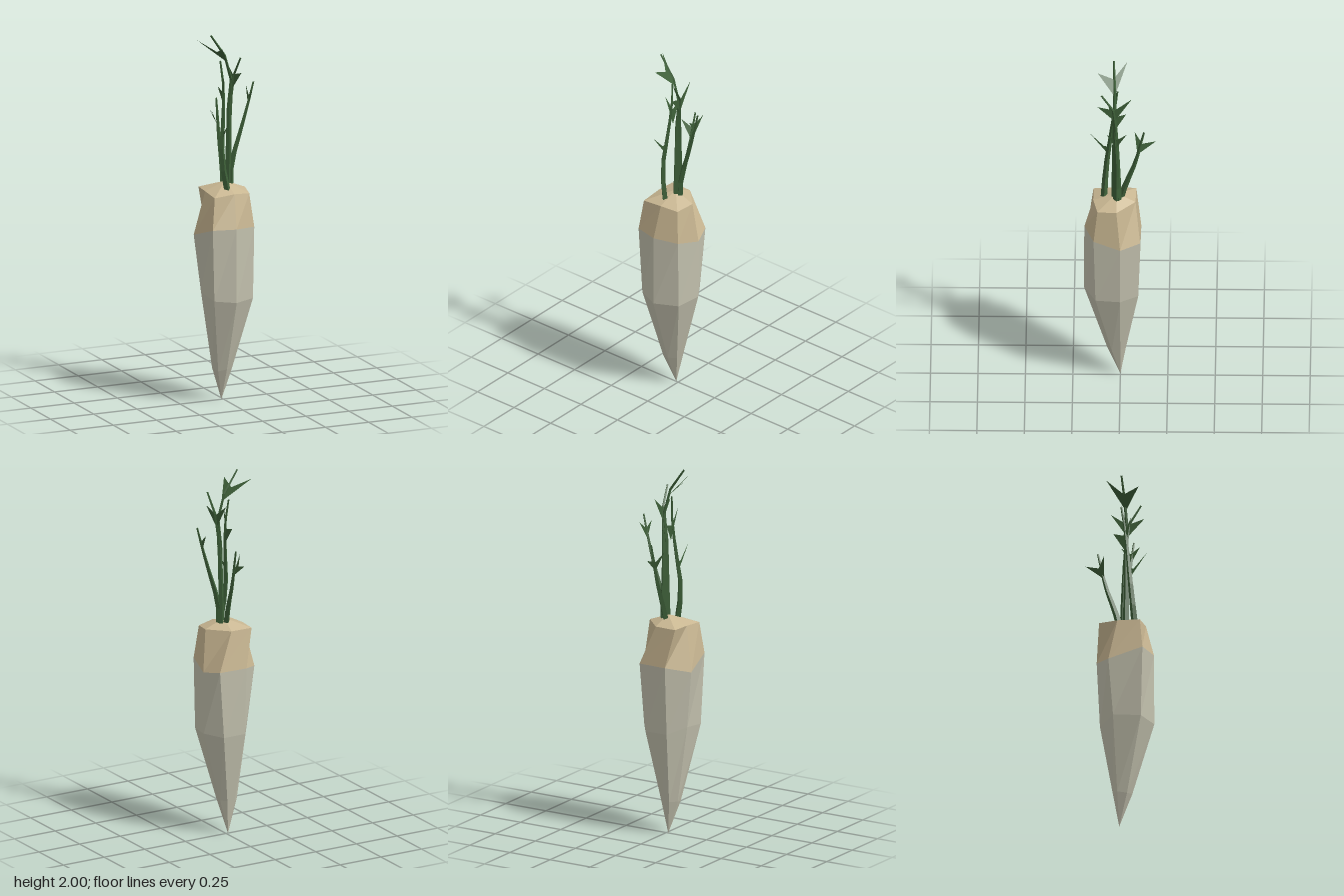
import * as THREE from 'three';

const mat = (color, side = THREE.FrontSide) => new THREE.MeshStandardMaterial({ color, side, flatShading: true });

// Geometry from a list of corner triples
function facets(corners) {
  const g = new THREE.BufferGeometry();
  g.setAttribute('position', new THREE.Float32BufferAttribute(corners.flat(), 3));
  g.computeVertexNormals();
  return g;
}

// Joins rings from top to bottom; a ring of one point closes the end
function loft(rings) {
  const out = [];
  for (let i = 0; i < rings.length - 1; i++) {
    const u = rings[i], l = rings[i + 1], n = Math.max(u.length, l.length);
    for (let j = 0; j < n; j++) {
      const k = (j + 1) % n;
      if (u.length === 1) out.push(u[0], l[k], l[j]);
      else if (l.length === 1) out.push(u[j], u[k], l[0]);
      else out.push(u[j], u[k], l[k], u[j], l[k], l[j]);
    }
  }
  return facets(out);
}

// Tapered four-sided stem along a bent path
function stemGeometry(points, r0, r1) {
  const curve = new THREE.CatmullRomCurve3(points.map(p => new THREE.Vector3(...p)));
  const segs = 6, sides = 4;
  const g = new THREE.TubeGeometry(curve, segs, r0, sides);
  const pos = g.attributes.position, v = new THREE.Vector3();
  for (let i = 0; i <= segs; i++) {
    const c = curve.getPointAt(i / segs), s = 1 + (r1 / r0 - 1) * i / segs;
    for (let j = 0; j <= sides; j++) {
      const n = i * (sides + 1) + j;
      v.fromBufferAttribute(pos, n).sub(c).multiplyScalar(s).add(c);
      pos.setXYZ(n, v.x, v.y, v.z);
    }
  }
  g.computeVertexNormals();
  return g;
}

// Forked leaf: base on the stem, two prongs and a notch between them
function leafGeometry(base, a, b) {
  const notch = base.map((c, i) => c * 0.4 + (a[i] + b[i]) * 0.3);
  return facets([base, a, notch, base, notch, b]);
}

export function createModel() {
  const group = new THREE.Group();
  const add = (name, geometry, material) => {
    const m = new THREE.Mesh(geometry, material);
    m.name = name;
    group.add(m);
  };

  // Seven-sided root cross-sections
  const apex = [[0, 1.195, 0.02]];
  const shoulder = [[-0.107, 1.15, -0.083], [0.015, 1.15, -0.08], [0.115, 1.15, 0.02], [0.095, 1.14, 0.12],
    [0, 1.15, 0.143], [-0.115, 1.14, 0.143], [-0.115, 1.15, 0.02]];
  const widest = [[-0.06, 0.94, -0.11], [0.1, 0.94, -0.105], [0.14, 0.92, 0], [0.115, 0.96, 0.14],
    [-0.01, 0.97, 0.19], [-0.135, 0.97, 0.163], [-0.165, 0.91, -0.015]];
  const middle = [[-0.06, 0.57, -0.092], [0.07, 0.57, -0.095], [0.138, 0.58, 0], [0.112, 0.57, 0.13],
    [-0.01, 0.57, 0.192], [-0.12, 0.58, 0.15], [-0.13, 0.6, 0]];
  const lower = [[-0.035, 0.18, -0.028], [0.01, 0.19, -0.03], [0.036, 0.19, 0], [0.03, 0.18, 0.045],
    [-0.012, 0.18, 0.072], [-0.055, 0.17, 0.055], [-0.068, 0.18, 0.005]];
  const tip = [[-0.012, 0, 0]];
  add('crown', loft([apex, shoulder, widest]), mat(0xc9b792));
  add('root', loft([widest, middle, lower, tip]), mat(0xc2c0ad));

  // Stems, each with one or two forked leaves
  const stemMat = mat(0x3d5f38), leafMat = mat(0x3d5f38, THREE.DoubleSide);
  const stems = [
    { path: [[0.03, 1.16, 0.02], [0.037, 1.28, 0.02], [0.09, 1.46, 0.02], [0.13, 1.6, 0.025], [0.16, 1.72, 0.03]],
      leaves: [[[0.132, 1.59, 0.022], [0.145, 1.69, -0.035], [0.135, 1.68, 0.07]]] },
    { path: [[0.01, 1.16, 0.03], [0.015, 1.4, 0.03], [0.018, 1.62, 0.03], [0.03, 1.81, 0.03], [-0.02, 1.9, 0.03], [-0.09, 2, 0.035]],
      leaves: [[[0.01, 1.84, 0.03], [-0.135, 1.96, -0.035], [-0.06, 1.94, 0.12]]] },
    { path: [[0.025, 1.16, 0.01], [0.025, 1.4, 0.015], [0.032, 1.65, 0.025], [0.045, 1.78, 0.04], [0.055, 1.88, 0.1]],
      leaves: [[[0.04, 1.7, 0.03], [0.035, 1.84, -0.06], [0.05, 1.8, 0.12]]] },
    { path: [[-0.015, 1.15, 0.087], [-0.042, 1.33, 0.076], [-0.028, 1.52, 0.055], [-0.015, 1.7, 0.035], [-0.025, 1.85, 0.015]],
      leaves: [[[-0.035, 1.42, 0.06], [-0.037, 1.56, 0.16], [-0.03, 1.48, 0.05]],
        [[-0.01, 1.6, 0.03], [-0.02, 1.7, -0.03], [-0.03, 1.78, 0.07]]] },
    { path: [[0, 1.16, 0], [0.005, 1.25, -0.025], [0.01, 1.42, -0.083], [0.012, 1.5, -0.1], [0.015, 1.61, -0.125]],
      leaves: [[[0.012, 1.46, -0.09], [0, 1.54, -0.188], [-0.04, 1.57, -0.075]]] },
  ];
  stems.forEach(({ path, leaves }, i) => {
    add(`stem${i + 1}`, stemGeometry(path, 0.018, 0.005), stemMat);
    leaves.forEach((l, j) => add(`leaf${i + 1}_${j + 1}`, leafGeometry(...l), leafMat));
  });
  return group;
}
